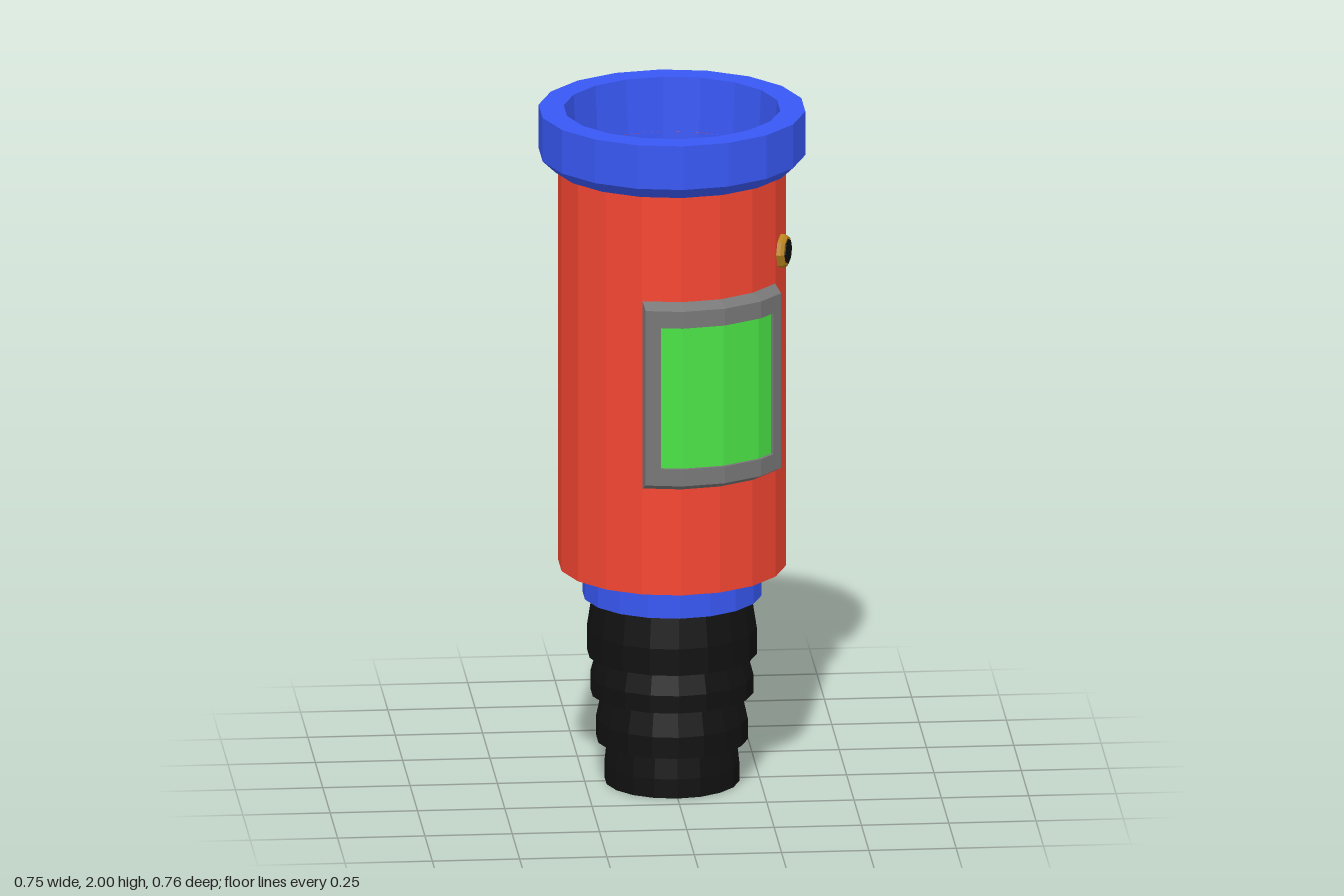
import * as THREE from 'three';

const SIDES = 18;
const STEP = 20; // degrees per facet

const paint = (color) => new THREE.MeshStandardMaterial({ color, flatShading: true, side: THREE.DoubleSide });
const blue = paint(0x3858f4);
const red = paint(0xf54632);
const black = paint(0x111111);
const grey = paint(0x777777);
const green = paint(0x4ae246);
const gold = paint(0xb8821e);

function add(parent, name, geometry, material) {
  const mesh = new THREE.Mesh(geometry, material);
  mesh.name = name;
  parent.add(mesh);
  return mesh;
}

function lathe(points, sides = SIDES) {
  return new THREE.LatheGeometry(points.map(([r, y]) => new THREE.Vector2(r, y)), sides);
}

// Point on the faceted barrel: angle in degrees from the front, r measured at the corners
function onBarrel(angle, r, y) {
  const rad = THREE.MathUtils.degToRad;
  const middle = (Math.floor(angle / STEP) + 0.5) * STEP;
  const d = (r * Math.cos(rad(STEP / 2))) / Math.cos(rad(angle - middle));
  return [d * Math.sin(rad(angle)), y, d * Math.cos(rad(angle))];
}

// Rows of points joined into a surface
function skin(rows) {
  const n = rows[0].length;
  const index = [];
  for (let i = 0; i < rows.length - 1; i++) {
    for (let j = 0; j < n - 1; j++) {
      const a = i * n + j;
      index.push(a, a + 1, a + n + 1, a, a + n + 1, a + n);
    }
  }
  const geometry = new THREE.BufferGeometry();
  geometry.setAttribute('position', new THREE.Float32BufferAttribute(rows.flat(2), 3));
  geometry.setIndex(index);
  geometry.computeVertexNormals();
  return geometry;
}

const columns = (from, to) => [from, 0, 20, 40, to];

// Closed rectangular loop wrapped around the barrel
function loop(from, to, low, high, r) {
  const angles = columns(from, to);
  const bottom = angles.map((a) => onBarrel(a, r, low));
  const top = angles.map((a) => onBarrel(a, r, high)).reverse();
  return [...bottom, ...top, bottom[0]];
}

export function createModel() {
  const model = new THREE.Group();
  model.name = 'canister';

  // Blue liner: neck, flared rim and tapering hollow inside
  add(model, 'linerAndRim', lathe([
    [0, 0.555], [0.257, 0.555], [0.257, 0.66], [0.31, 1.835], [0.345, 1.835],
    [0.382, 1.87], [0.382, 2], [0.31, 2], [0.23, 0.62], [0, 0.62],
  ]), blue);

  // Red outer sleeve
  add(model, 'sleeve', lathe([[0.25, 0.645], [0.326, 0.645], [0.326, 1.84], [0.3, 1.84]]), red);

  // Stepped hose end, each ring flaring downwards
  const rings = [
    [0, 0.125, 0.193, 0.185],
    [0.125, 0.265, 0.217, 0.2],
    [0.265, 0.38, 0.234, 0.217],
    [0.38, 0.555, 0.243, 0.228],
  ];
  for (const [low, high, wide, narrow] of rings) {
    add(model, 'hoseRing', lathe([
      [0, low], [wide, low], [wide, low + (high - low) * 0.45], [narrow, high], [0, high],
    ]), black);
  }

  // Bevelled window frame and its pane, bent around the sleeve
  add(model, 'windowFrame', skin([
    loop(-20, 60, 0.96, 1.52, 0.324),
    loop(-17, 56, 0.98, 1.5, 0.36),
    loop(-10, 50, 1.03, 1.45, 0.36),
    loop(-10, 50, 1.03, 1.45, 0.34),
  ]), grey);
  add(model, 'windowPane', skin([1.03, 1.45].map(
    (y) => columns(-10, 50).map((a) => onBarrel(a, 0.35, y)),
  )), green);

  // Small port centred on a facet of the sleeve
  const port = new THREE.Group();
  port.name = 'port';
  port.rotation.y = THREE.MathUtils.degToRad(70);
  port.position.y = 1.6;
  const collar = lathe([[0.05, 0.31], [0.05, 0.333], [0.043, 0.342], [0.034, 0.342], [0.034, 0.32]], 8);
  const plug = new THREE.CylinderGeometry(0.036, 0.036, 0.035, 8).translate(0, 0.3275, 0);
  for (const [name, geometry, material] of [['portCollar', collar, gold], ['portPlug', plug, black]]) {
    add(port, name, geometry.rotateX(Math.PI / 2), material);
  }
  model.add(port);

  return model;
}
